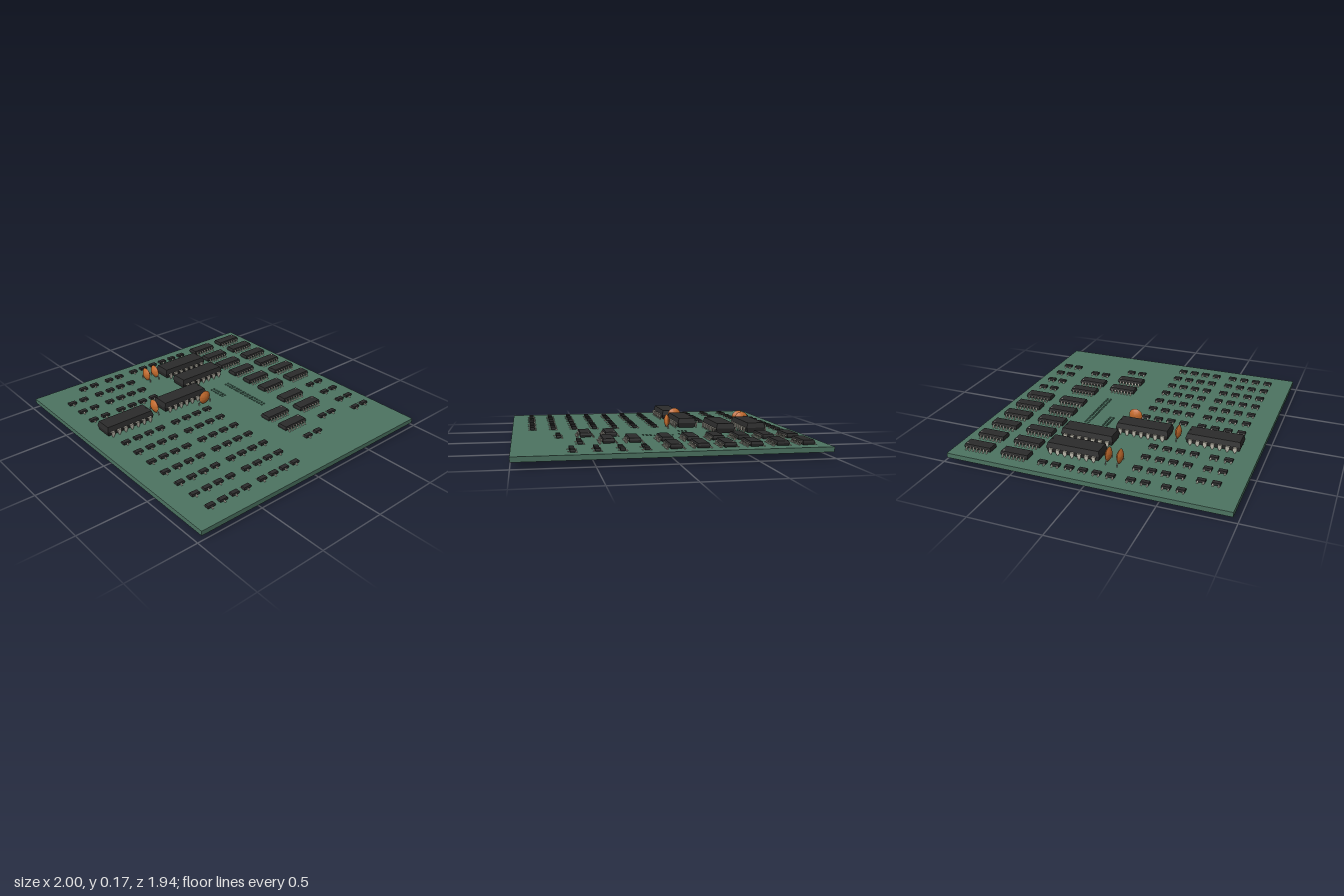
import * as THREE from 'three';
import { mergeGeometries, toCreasedNormals } from 'three/addons/utils/BufferGeometryUtils.js';

const TOP = 0.07, BOTTOM = 0.037, PITCH = 0.0515;
const mat = (color) => new THREE.MeshStandardMaterial({ color });

// Closed outline extruded symmetrically about z = 0
function extrude(points, depth) {
  const shape = new THREE.Shape(points.map(([x, y]) => new THREE.Vector2(x, y)));
  return new THREE.ExtrudeGeometry(shape, { depth, bevelEnabled: false }).translate(0, 0, -depth / 2);
}

// Moulded case: widest at mid height, drafted towards top and bottom
function caseGeometry(w, h, d, draft, y) {
  const g = new THREE.BoxGeometry(w, h, d, 1, 2, 1);
  const p = g.attributes.position;
  for (let i = 0; i < p.count; i++) {
    if (Math.abs(p.getY(i)) > h / 4) {
      p.setX(i, p.getX(i) - Math.sign(p.getX(i)) * draft);
      p.setZ(i, p.getZ(i) - Math.sign(p.getZ(i)) * draft);
    }
  }
  return toCreasedNormals(g.translate(0, y + h / 2, 0), 0.2);
}

// Pins placed along z; the right-hand row is the same pin turned round
function pinRows(pin, leftZ, rightZ) {
  return mergeGeometries([
    ...leftZ.map((z) => pin.clone().translate(0, 0, z)),
    ...rightZ.map((z) => pin.clone().rotateY(Math.PI).translate(0, 0, z)),
  ]);
}

const row = (n, pitch) => Array.from({ length: n }, (_, i) => (i - (n - 1) / 2) * pitch);

// Gull-wing surface-mount pin
function gullPin(reach, foot, h, width) {
  const t = 0.004, knee = foot - 0.016;
  return extrude([[reach, h], [knee + 0.002, h], [foot - 0.008, t], [foot, t], [foot, 0],
    [foot - 0.011, 0], [knee, h - t], [reach, h - t]], width);
}

// Through-hole pin: wide shoulder narrowing to a leg
function dipPin() {
  const leg = extrude([[-0.014, 0.11], [0.014, 0.11], [0.014, 0.086], [0.005, 0.074], [0.005, 0.006],
    [0.002, 0], [-0.002, 0], [-0.005, 0.006], [-0.005, 0.074], [-0.014, 0.086]], 0.006)
    .rotateY(Math.PI / 2).translate(0.077, 0, 0);
  const arm = new THREE.BoxGeometry(0.024, 0.006, 0.028).translate(0.068, 0.107, 0);
  return mergeGeometries([leg.toNonIndexed(), arm.toNonIndexed()].map((g) => g.index ? g.toNonIndexed() : g));
}

export function createModel() {
  const model = new THREE.Group();
  const green = mat(0x4c7361), black = mat(0x2b2b2b), metal = mat(0xb9b5a8),
    orange = mat(0xc26a2c), dark = mat(0x161616), grey = mat(0x8a8680);

  function add(parent, name, geometry, material) {
    const m = new THREE.Mesh(geometry, material);
    m.name = name;
    parent.add(m);
    return m;
  }
  function place(name, x, y, z, parts) {
    const g = new THREE.Group();
    g.name = name;
    g.position.set(x, y, z);
    for (const [n, geo, m] of parts) add(g, n, geo, m);
    model.add(g);
    return g;
  }

  // Board with two double rows of connector holes
  const outline = new THREE.Shape([[-1, -0.97], [1, -0.97], [1, 0.97], [-1, 0.97]]
    .map(([x, y]) => new THREE.Vector2(x, y)));
  for (const [count, z0] of [[17, -0.305], [6, -0.164]]) {
    for (let i = 0; i < count; i++) {
      for (const z of [z0, z0 + 0.0257]) {
        outline.holes.push(new THREE.Path().absarc(-0.257 + i * 0.0257, -z, 0.008, 0, Math.PI * 2, true));
      }
    }
  }
  add(model, 'circuitBoard', new THREE.ExtrudeGeometry(outline,
    { depth: TOP - BOTTOM, bevelEnabled: false, curveSegments: 5 })
    .rotateX(-Math.PI / 2).translate(0, BOTTOM, 0), green);

  // Large through-hole chips
  const dipZ = row(7, PITCH);
  const dip = [
    ['chipCase', caseGeometry(0.134, 0.068, 0.382, 0.009, 0.077), black],
    ['chipPins', pinRows(dipPin(), dipZ, dipZ), metal],
    ['chipNotch', new THREE.CircleGeometry(0.014, 16, Math.PI, Math.PI)
      .rotateX(-Math.PI / 2).translate(0, 0.1456, -0.181), dark],
  ];
  for (const [x, z] of [[-0.69, -0.167], [-0.47, -0.167], [-0.267, 0.155], [-0.246, 0.655]]) {
    place('throughHoleChip', x, 0, z, dip);
  }

  // Small surface-mount chips
  const soZ = row(7, PITCH / 2);
  const so = [
    ['chipCase', caseGeometry(0.08, 0.03, 0.2, 0.004, 0.004), black],
    ['chipPins', pinRows(gullPin(0.034, 0.061, 0.021, 0.01), soZ, soZ), metal],
    ['pinOneMark', new THREE.CircleGeometry(0.006, 12)
      .rotateX(-Math.PI / 2).translate(-0.022, 0.0346, -0.082), grey],
  ];
  const soColumns = [-0.86, -0.69, -0.518, -0.347, -0.176, -0.005];
  for (const x of soColumns) place('surfaceChip', x, TOP, -0.797, so);
  for (const x of [...soColumns, 0.209, 0.38]) place('surfaceChip', x, TOP, -0.521, so);
  for (const x of [0.333, 0.505]) place('surfaceChip', x, TOP, -0.246, so);

  // Transistors: three pins, two on one side
  const sot = [
    ['transistorCase', caseGeometry(0.034, 0.018, 0.058, 0.002, 0.002), black],
    ['transistorPins', pinRows(gullPin(0.013, 0.029, 0.012, 0.01), [0], [-0.019, 0.019]), metal],
  ];
  const transistorBlocks = [
    [[0.176, 0.326, 0.478, 0.63], [-0.867, -0.775]],
    [[0.563], [-0.59, -0.495]],
    [[0.686], [-0.315, -0.22]],
    [[-0.892], [-0.315, -0.22, -0.125, -0.03, 0.065, 0.16, 0.295, 0.39, 0.525, 0.62]],
    [[-0.745, -0.594, -0.443], [0.283, 0.38, 0.473, 0.57, 0.703, 0.8]],
    [row(7, 0.15).map((x) => x + 0.406), [0.083, 0.179, 0.273, 0.369, 0.503, 0.599, 0.693, 0.789]],
  ];
  for (const [xs, zs] of transistorBlocks) {
    for (const x of xs) for (const z of zs) place('transistor', x, TOP, z, sot);
  }

  // Lens-shaped disc capacitors with bent leads
  const lens = [];
  for (let i = 0; i <= 12; i++) {
    const u = -1 + i / 6;
    lens.push(new THREE.Vector2(Math.max(0.05 * (1 - u * u), 0), u * 0.022));
  }
  // Radius follows a circular-arc face: thickness falls off with radius squared
  lens.forEach((p) => { p.x = 0.05 * Math.sqrt(Math.max(0, 1 - Math.abs(p.y) / 0.022)); });
  const disc = toCreasedNormals(new THREE.LatheGeometry(lens, 32), 0.7)
    .rotateX(Math.PI / 2).translate(0, 0.123, 0);
  const leads = mergeGeometries([-1, 1].map((s) => {
    const path = new THREE.CurvePath();
    const pts = [[0.03, 0.1], [0.052, 0.095], [0.052, 0.03]].map(([x, y]) => new THREE.Vector3(s * x, y, 0));
    path.add(new THREE.LineCurve3(pts[0], pts[1]));
    path.add(new THREE.LineCurve3(pts[1], pts[2]));
    return new THREE.TubeGeometry(path, 12, 0.004, 6);
  }));
  for (const [x, z, turn] of [[-0.715, 0.072, 0], [-0.715, 0.152, 0], [-0.262, 0.398, 0], [-0.13, 0.035, 1]]) {
    place('discCapacitor', x, 0, z, [['capacitorDisc', disc, orange], ['capacitorLeads', leads, metal]])
      .rotation.y = turn * Math.PI / 2;
  }

  return model;
}
